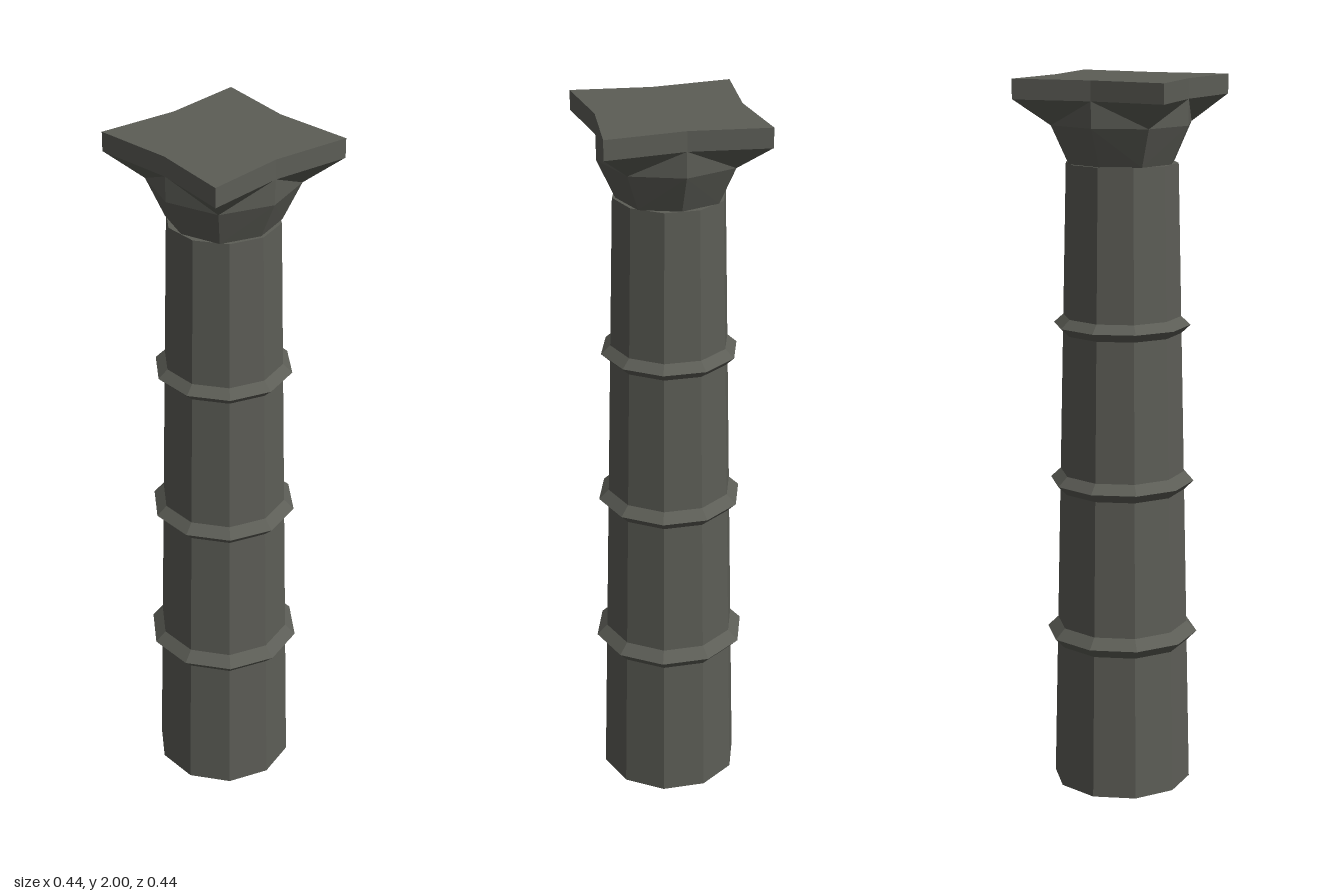
import * as THREE from 'three';

const SIDES = 10;

// Ten-sided drum with a corner pointing along +x
function drum(rTop, rBottom, y0, y1, open = false) {
  const g = new THREE.CylinderGeometry(rTop, rBottom, y1 - y0, SIDES, 1, open, Math.PI / 2);
  g.translate(0, (y0 + y1) / 2, 0);
  return g;
}

// Eight-point ring: even points on the side middles, odd points on the diagonals
function ring(y, mid, corner) {
  return Array.from({ length: 8 }, (_, k) => {
    const a = (k * Math.PI) / 4;
    const r = k % 2 ? corner * Math.SQRT2 : mid;
    return [Math.sin(a) * r, y, Math.cos(a) * r];
  });
}

// Skin a stack of eight-point rings, with closed ends
function loft(rings) {
  const p = [];
  const tri = (...pts) => pts.forEach((v) => p.push(...v));
  const low = rings[0], high = rings[rings.length - 1];
  for (let k = 0; k < 8; k++) {
    const n = (k + 1) % 8;
    for (let i = 0; i < rings.length - 1; i++) {
      const b = rings[i], t = rings[i + 1];
      if (k % 2 === 0) {
        tri(b[k], b[n], t[k]);
        tri(t[k], b[n], t[n]);
      } else {
        tri(b[k], b[n], t[n]);
        tri(b[k], t[n], t[k]);
      }
    }
    tri([0, high[0][1], 0], high[k], high[n]);
    tri([0, low[0][1], 0], low[n], low[k]);
  }
  const g = new THREE.BufferGeometry();
  g.setAttribute('position', new THREE.Float32BufferAttribute(p, 3));
  g.computeVertexNormals();
  return g;
}

export function createModel() {
  const group = new THREE.Group();
  const stone = new THREE.MeshStandardMaterial({ color: 0x5c5d56, flatShading: true });
  stone.name = 'dark stone';
  const add = (geometry, name) => {
    const mesh = new THREE.Mesh(geometry, stone);
    mesh.name = name;
    group.add(mesh);
  };

  // Tapered shaft
  const top = 1.77, rBase = 0.195, rTop = 0.154;
  const radiusAt = (y) => rBase + ((rTop - rBase) * y) / top;
  add(drum(rTop, rBase, 0, top), 'shaft');

  // Three sharp-edged bands, shrinking with the taper
  for (let i = 1; i <= 3; i++) {
    const y = (i * top) / 4;
    const h = 0.031 - i * 0.0025;
    const r = radiusAt(y) * 1.155;
    add(drum(r, radiusAt(y - h), y - h, y, true), 'bandLower' + i);
    add(drum(radiusAt(y + h), r, y, y + h, true), 'bandUpper' + i);
  }

  // Flared capital that spreads into the four slab corners
  add(loft([
    ring(top, 0.145, 0.108),
    ring(1.875, 0.194, 0.143),
    ring(1.946, 0.195, 0.218),
  ]), 'capital');

  // Top slab with inward-bent sides
  add(loft([ring(1.946, 0.196, 0.219), ring(2, 0.196, 0.219)]), 'slab');

  return group;
}
